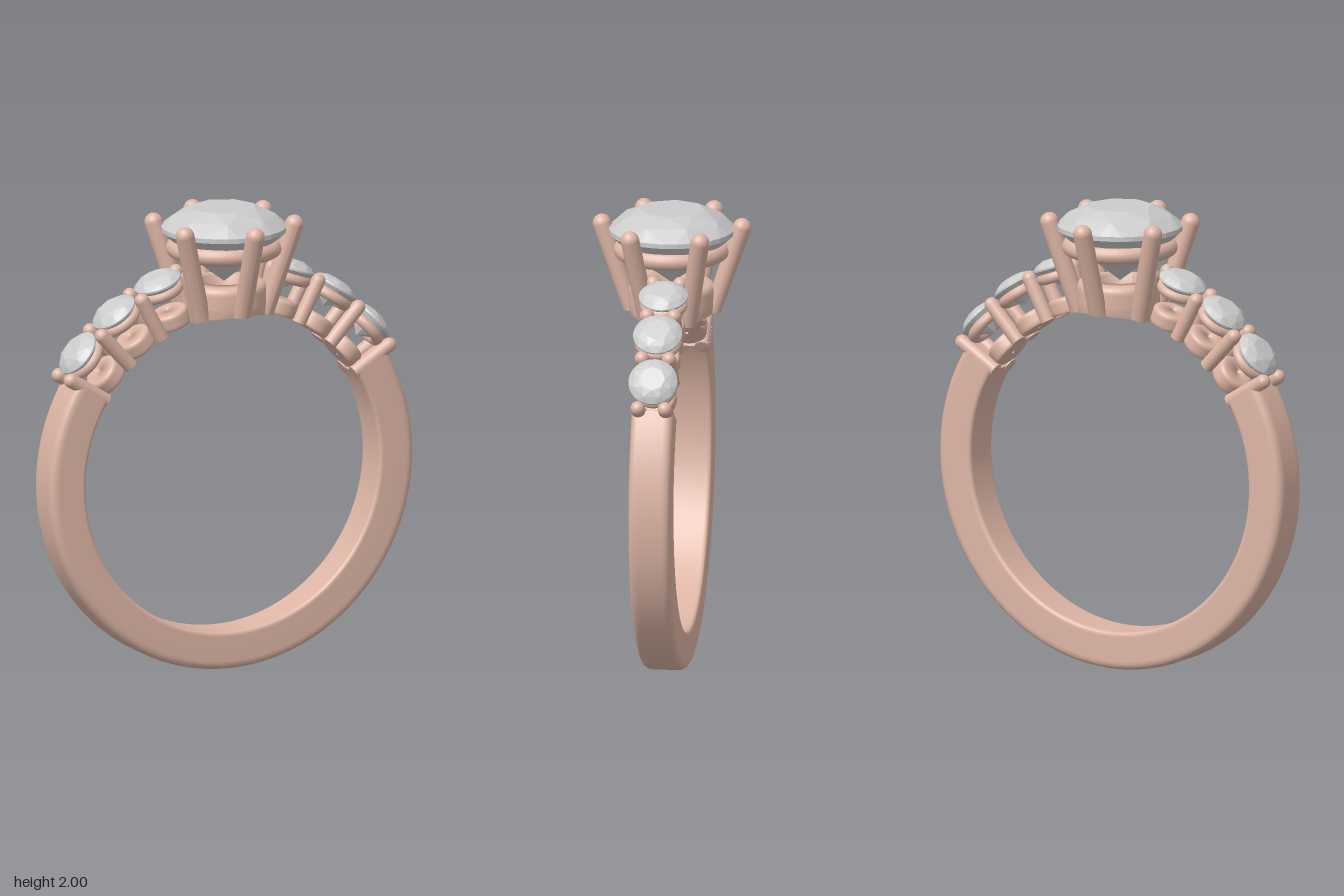
import * as THREE from 'three';
import { ConvexGeometry } from 'three/addons/geometries/ConvexGeometry.js';

const CY = 0.86, RI = 0.695, RO = 0.86, HALF = 0.09; // band centre, radii, half width
const rad = THREE.MathUtils.degToRad;

const metal = new THREE.MeshStandardMaterial({ color: 0xddb5a5, side: THREE.DoubleSide });
const gemMat = new THREE.MeshStandardMaterial({ color: 0xcccccc, flatShading: true });

function add(parent, name, geometry, material = metal) {
  const mesh = new THREE.Mesh(geometry, material);
  mesh.name = name;
  parent.add(mesh);
  return mesh;
}

// Brilliant cut, girdle at y = 0
function gemGeometry(s) {
  const pts = [];
  const ring = (n, r, y, offset = 0) => {
    for (let i = 0; i < n; i++) {
      const a = ((i + offset) / n) * Math.PI * 2;
      pts.push(new THREE.Vector3(Math.sin(a) * r * s, y * s, Math.cos(a) * r * s));
    }
  };
  ring(8, 0.14, 0.09);
  ring(8, 0.22, 0.056, 0.5);
  ring(32, 0.268, 0.008);
  ring(32, 0.268, -0.012);
  ring(8, 0.14, -0.13, 0.5);
  ring(1, 0, -0.235);
  return new ConvexGeometry(pts);
}

// Round wire from a to b with a domed tip
function prongGeometry(a, b, r) {
  const length = a.distanceTo(b);
  const profile = [new THREE.Vector2(0, 0), new THREE.Vector2(r * 0.999, 0), new THREE.Vector2(r, 0.002)];
  for (let i = 0; i <= 6; i++) {
    const t = (i / 6) * Math.PI / 2;
    profile.push(new THREE.Vector2(r * Math.cos(t), length - r + r * Math.sin(t)));
  }
  const g = new THREE.LatheGeometry(profile, 20);
  const dir = b.clone().sub(a).normalize();
  g.applyQuaternion(new THREE.Quaternion().setFromUnitVectors(new THREE.Vector3(0, 1, 0), dir));
  return g.translate(a.x, a.y, a.z);
}

// Collar with rounded walls and a hole through the middle
function collarGeometry(hole, r, h) {
  const s = new THREE.Path();
  const c = h * 0.3;
  s.moveTo(hole, 0);
  s.lineTo(r - c * 0.4, 0);
  s.quadraticCurveTo(r, 0, r, c);
  s.lineTo(r, h - c);
  s.quadraticCurveTo(r, h, r - c, h);
  s.lineTo(hole, h);
  s.lineTo(hole, 0);
  return new THREE.LatheGeometry(s.getPoints(6), 40);
}

// Bend the lowest vertices to the finger opening
function followOpening(g) {
  const p = g.attributes.position;
  for (let i = 0; i < p.count; i++) {
    const x = p.getX(i), floor = CY + Math.sqrt(RI * RI - x * x);
    if (p.getY(i) < CY + RI + 0.015) p.setY(i, floor);
  }
  g.computeVertexNormals();
  return g;
}

function buildBand() {
  const band = new THREE.Group();
  band.name = 'band';
  const s = new THREE.Shape(), ci = 0.02, co = 0.04;
  s.moveTo(RI + ci, -HALF);
  s.lineTo(RO - co, -HALF);
  s.quadraticCurveTo(RO, -HALF, RO, -HALF + co);
  s.lineTo(RO, HALF - co);
  s.quadraticCurveTo(RO, HALF, RO - co, HALF);
  s.lineTo(RI + ci, HALF);
  s.quadraticCurveTo(RI, HALF, RI, HALF - ci);
  s.lineTo(RI, -HALF + ci);
  s.quadraticCurveTo(RI, -HALF, RI + ci, -HALF);
  add(band, 'shank', new THREE.LatheGeometry(s.getPoints(6), 120, rad(-122), rad(244)).rotateX(Math.PI / 2));
  for (const a of [32, 148]) {
    add(band, 'shankEnd', new THREE.ShapeGeometry(s, 6).rotateX(Math.PI / 2).rotateZ(rad(a)));
  }
  band.position.y = CY;
  return band;
}

// Three stones climbing one shoulder, each placed along a radius of the band
function buildShoulder(side) {
  const shoulder = new THREE.Group();
  shoulder.name = side > 0 ? 'leftShoulder' : 'rightShoulder';
  shoulder.position.y = CY;
  const spoke = (name, angle) => {
    const g = new THREE.Group();
    g.name = name;
    g.rotation.z = side * rad(angle - 90);
    shoulder.add(g);
    return g;
  };
  for (const angle of [39.5, 54.5, 69.5]) {
    const g = spoke('shoulderSetting', angle);
    add(g, 'sideStone', gemGeometry(0.39)).position.y = 0.9;
    g.children[0].material = gemMat;
    add(g, 'seatRing', new THREE.TorusGeometry(0.078, 0.024, 12, 36).rotateX(Math.PI / 2)).position.y = 0.858;
    add(g, 'baseCup', collarGeometry(0.008, 0.085, 0.072)).position.y = 0.693;
  }
  for (const angle of [32, 47, 62, 77]) {
    const g = spoke('prongPair', angle);
    for (const z of [-0.058, 0.058]) {
      add(g, 'sideProng', prongGeometry(new THREE.Vector3(0, 0.69, z), new THREE.Vector3(0, 0.92, z), 0.031));
    }
  }
  return shoulder;
}

// Large stone in a six-prong basket
function buildHead() {
  const head = new THREE.Group();
  head.name = 'head';
  add(head, 'centreStone', gemGeometry(1), gemMat).position.y = 1.91;
  add(head, 'galleryRing', new THREE.TorusGeometry(0.212, 0.037, 16, 64).rotateX(Math.PI / 2)).position.y = 1.825;
  add(head, 'baseCollar', followOpening(collarGeometry(0.1, 0.185, 0.125).translate(0, CY + RI, 0)));
  for (let i = 0; i < 6; i++) {
    const a = i * Math.PI / 3, sx = Math.sin(a), cz = Math.cos(a);
    const foot = new THREE.Vector3(sx * 0.172, 1.555, cz * 0.172);
    const tip = new THREE.Vector3(sx * 0.312, 1.966, cz * 0.312);
    add(head, 'mainProng', followOpening(prongGeometry(foot, tip, 0.04)));
  }
  return head;
}

export function createModel() {
  const ring = new THREE.Group();
  ring.name = 'ring';
  ring.add(buildBand(), buildShoulder(1), buildShoulder(-1), buildHead());
  return ring;
}
